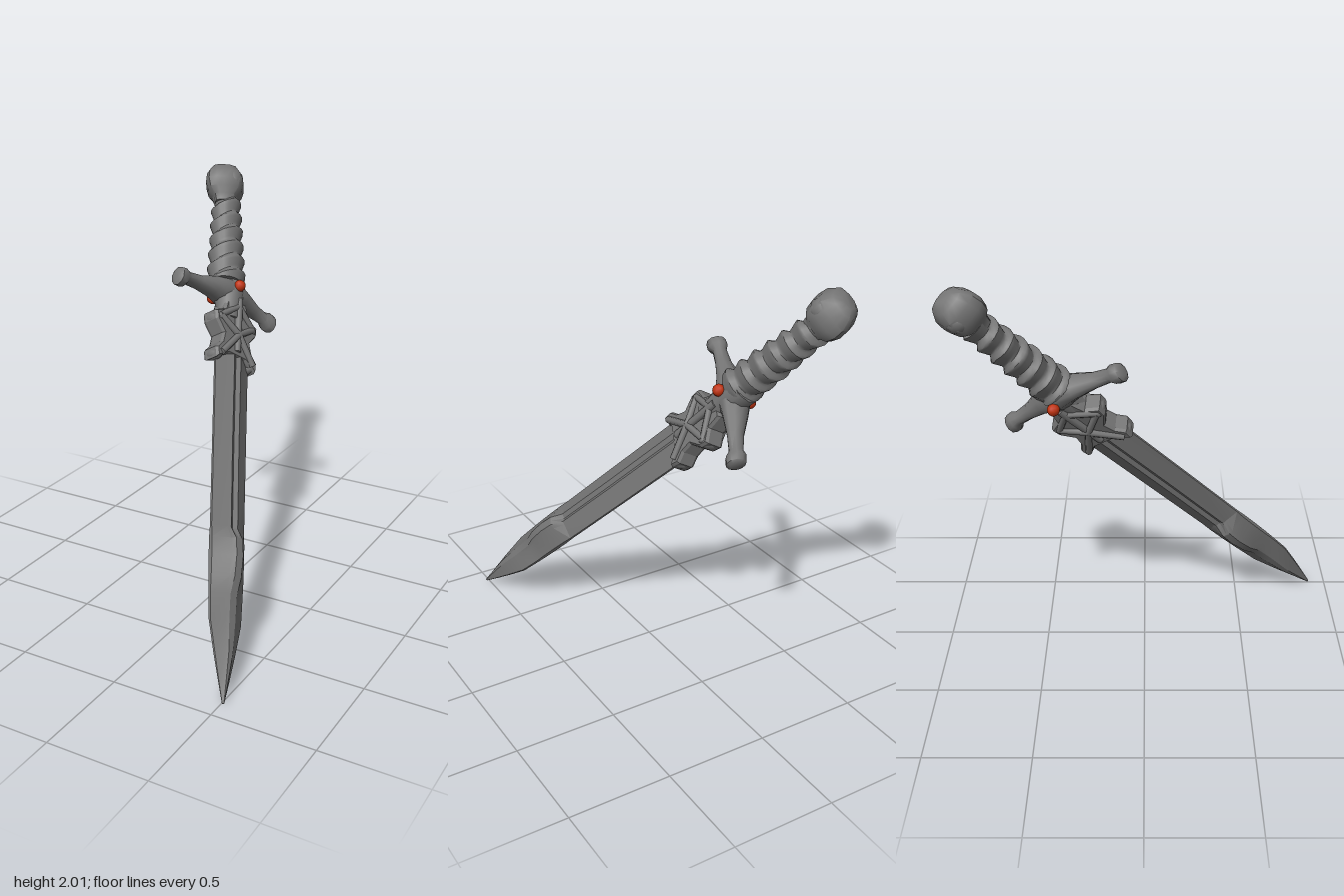
import * as THREE from 'three';
import { toCreasedNormals } from 'three/addons/utils/BufferGeometryUtils.js';

const steel = new THREE.MeshStandardMaterial({ color: 0x757575 });
steel.name = 'darkSteel';
const red = new THREE.MeshStandardMaterial({ color: 0xc0320f });
red.name = 'redGem';

// Skin a list of closed rings (arrays of [x, y, z]) stacked along +y, with end caps
function loft(rings, crease = 0.6) {
  const n = rings[0].length, pos = rings.flat(2), idx = [];
  for (let r = 0; r < rings.length - 1; r++) {
    for (let i = 0; i < n; i++) {
      const a = r * n + i, b = r * n + (i + 1) % n;
      idx.push(a, a + n, b, b, a + n, b + n);
    }
  }
  const top = (rings.length - 1) * n;
  for (let i = 1; i < n - 1; i++) idx.push(0, i, i + 1, top, top + i + 1, top + i);
  const g = new THREE.BufferGeometry();
  g.setAttribute('position', new THREE.Float32BufferAttribute(pos, 3));
  g.setIndex(idx);
  return toCreasedNormals(g, crease);
}

// Ring of n points around the y axis, with the radius given by angle
const round = (n, y, fx, fz, cx = 0) => Array.from({ length: n }, (_, i) => {
  const a = (i / n) * Math.PI * 2;
  return [cx + Math.cos(a) * fx(a), y, Math.sin(a) * fz(a)];
});

function add(parent, name, geometry, material = steel) {
  const m = new THREE.Mesh(geometry, material);
  m.name = name;
  parent.add(m);
  return m;
}

export function createModel() {
  const model = new THREE.Group();
  model.name = 'dagger';

  // Local frame: y runs from tip to pommel, x across the blade, z through it
  const tilted = new THREE.Group();
  tilted.name = 'tiltedDagger';
  const Y = new THREE.Vector3(-0.343, 0.698, -0.628).normalize();
  const X = new THREE.Vector3(0.352, -0.524, -0.778);
  X.addScaledVector(Y, -X.dot(Y)).normalize();
  const Z = new THREE.Vector3().crossVectors(X, Y);
  tilted.quaternion.setFromRotationMatrix(new THREE.Matrix4().makeBasis(X, Y, Z));
  tilted.position.set(0.51, 0.01, 0.91);
  model.add(tilted);

  // Blade: [distance from tip, half width, half thickness]
  const stations = [
    [0, 0.006, 0.006], [0.1, 0.034, 0.022], [0.22, 0.066, 0.04], [0.36, 0.1, 0.045],
    [0.48, 0.106, 0.05], [0.56, 0.107, 0.075], [0.66, 0.108, 0.085], [0.74, 0.109, 0.08],
    [0.8, 0.11, 0.046], [1.2, 0.113, 0.043], [1.72, 0.116, 0.045],
  ];
  add(tilted, 'blade', loft(stations.map(([t, w, h]) => {
    const c = 0.025 * t, groove = t > 0.78 ? 0.72 : 1;
    const half = [[1, 0.12], [0.36, 0.8], [0.2, 1], [0, groove], [-0.2, 1], [-0.36, 0.8], [-1, 0.12]];
    return [...half.map(([x, z]) => [c + x * w, t, z * h]),
      ...half.map(([x, z]) => [c - x * w, t, -z * h])];
  }), 0.35));

  // Collar: hourglass plate with crossing ribs and blunt horns
  const collar = new THREE.Group();
  collar.name = 'collar';
  collar.position.set(0.04, 1.8, -0.005);
  tilted.add(collar);
  const outline = [[0.06, 0.2], [0.08, 0.13], [0.14, 0.1], [0.135, 0.06], [0.085, 0],
    [0.1, -0.06], [0.135, -0.1], [0.13, -0.14], [0.06, -0.1]];
  const shape = new THREE.Shape([...outline.map(([x, y]) => new THREE.Vector2(x, y)),
    ...outline.slice().reverse().map(([x, y]) => new THREE.Vector2(-x, y))].reverse());
  const plate = new THREE.ExtrudeGeometry(shape,
    { depth: 0.07, bevelEnabled: true, bevelSize: 0.008, bevelThickness: 0.015, bevelSegments: 1 });
  plate.translate(0, 0, -0.035);
  add(collar, 'collarPlate', plate);
  const rib = (name, a, b, r) => {
    const p = new THREE.Vector3(...a), q = new THREE.Vector3(...b), d = q.clone().sub(p);
    const m = add(collar, name, new THREE.CylinderGeometry(r, r, d.length(), 8));
    m.position.copy(p).add(q).multiplyScalar(0.5);
    m.quaternion.setFromUnitVectors(new THREE.Vector3(0, 1, 0), d.normalize());
  };
  for (const z of [-1, 1]) {
    for (const x of [-1, 1]) {
      rib('collarRib', [0.115 * x, 0.085, 0.045 * z], [0, 0.01, 0.06 * z], 0.017);
      rib('collarRib', [0.11 * x, -0.12, 0.05 * z], [0, 0.01, 0.06 * z], 0.017);
      rib('collarRib', [0.115 * x, 0.085, 0.045 * z], [0, 0.17, 0.06 * z], 0.016);
    }
    rib('collarSpine', [0, -0.08, 0.045 * z], [0, 0.21, 0.06 * z], 0.02);
  }
  for (const x of [-1, 1]) {
    for (const [y, r] of [[0.08, 0.036], [-0.12, 0.03]]) {
      const horn = add(collar, 'collarHorn', new THREE.SphereGeometry(r, 10, 8));
      horn.position.set(0.115 * x, y, 0);
      horn.scale.z = 1.7;
    }
  }

  // Neck joining collar and crossguard
  add(tilted, 'neck', loft([[1.9, 0.07, 0.06], [1.97, 0.066, 0.065], [2.05, 0.08, 0.08], [2.16, 0.085, 0.08]]
    .map(([t, x, z]) => round(10, t, () => x, () => z, 0.02)), 1));

  // Crossguard: [distance along arm, half height, half depth, droop towards blade]
  const arm = [[0.35, 0.03, 0.03, 0.055], [0.34, 0.048, 0.045, 0.055], [0.305, 0.05, 0.046, 0.05],
    [0.28, 0.032, 0.035, 0.042], [0.2, 0.034, 0.044, 0.03], [0.1, 0.052, 0.068, 0.01]];
  const profile = [...arm.map(([u, ...r]) => [-u, ...r]), [0, 0.085, 0.09, 0], ...arm.slice().reverse()];
  const guard = add(tilted, 'crossguard', loft(profile.map(([u, h, d, droop]) =>
    round(10, u, () => h, () => d, droop)), 0.9));
  guard.rotation.z = -Math.PI / 2;
  guard.position.set(0.01, 2.07, -0.01);

  // A gem on each face of the guard
  for (const z of [0.082, -0.108]) {
    add(tilted, 'gem', new THREE.IcosahedronGeometry(0.03, 1), red).position.set(0.016, 2.07, z);
  }

  // Grip: tapering, with a helical wrap of stepped bands
  const gripRings = [];
  for (let i = 0; i <= 50; i++) {
    const s = i / 50, t = 2.1 + 0.52 * s, base = 0.088 - 0.026 * s;
    const r = (a) => {
      const phase = s * 6 + a / (2 * Math.PI) + 0.12 * Math.cos(2 * a);
      const f = phase - Math.floor(phase);
      return base + 0.024 * (f < 0.7 ? f / 0.7 : (1 - f) / 0.3) - 0.008;
    };
    gripRings.push(round(20, t, r, r));
  }
  add(tilted, 'grip', loft(gripRings, 0.8));

  // Pommel: chunky lobed knob
  const knob = [[2.58, 0.058], [2.615, 0.068], [2.645, 0.1], [2.69, 0.113], [2.74, 0.108],
    [2.785, 0.08], [2.805, 0.045]];
  add(tilted, 'pommel', loft(knob.map(([t, r]) => {
    const lobe = (a) => r * (1 + 0.07 * Math.cos(4 * a));
    return round(16, t, lobe, (a) => 0.88 * lobe(a), -0.012);
  }), 0.7));
  for (const z of [-1, 1]) {
    const boss = add(tilted, 'pommelBoss', new THREE.SphereGeometry(0.045, 10, 8));
    boss.position.set(-0.012, 2.705, 0.08 * z);
    boss.scale.z = 0.6;
  }

  return model;
}
